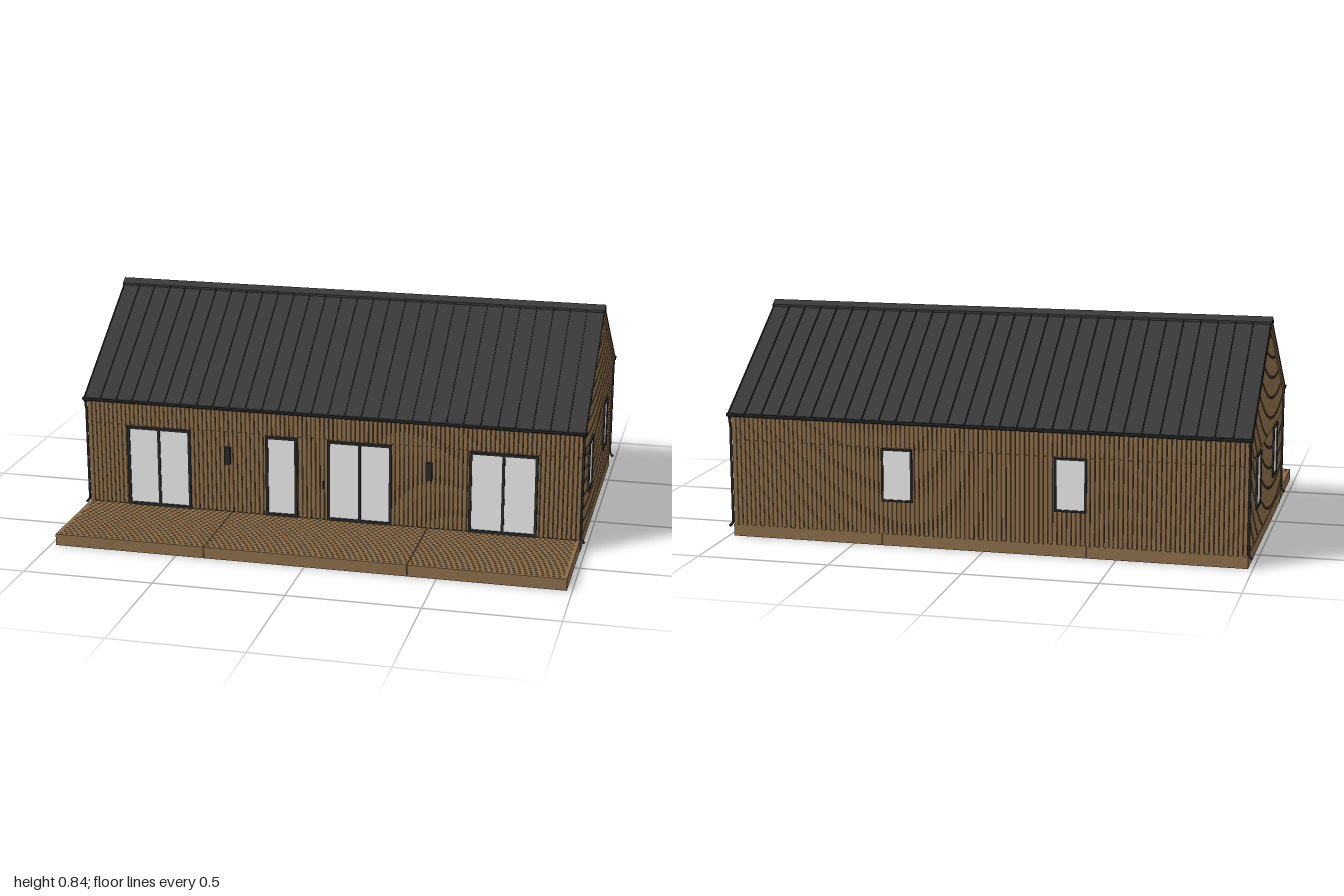
import * as THREE from 'three';
import { mergeGeometries } from 'three/addons/utils/BufferGeometryUtils.js';

const mat = (name, color) => {
  const m = new THREE.MeshStandardMaterial({ color });
  m.name = name;
  return m;
};

export function createModel() {
  const wood = mat('timber', 0x896b48);
  const floorWood = mat('floor timber', 0x765f43);
  const gap = mat('shadow gap brown', 0x4a3823);
  const roofMetal = mat('roof metal', 0x383838);
  const trim = mat('dark trim', 0x262728);
  const glass = mat('glass', 0xfafafa);
  const under = mat('deck underside', 0x2a2a2a);

  const house = new THREE.Group();
  house.name = 'house';
  const ZC = -0.18, HALF_D = 0.515, HALF_W = 0.98, SLOPE = 0.667;
  const WALL_PEAK = 0.821, BASE = 0.045, BAND = 0.375;
  const gableTop = d => WALL_PEAK - SLOPE * Math.abs(d);

  const add = (parent, name, geo, material) => {
    const m = new THREE.Mesh(geo, material);
    m.name = name;
    parent.add(m);
  };
  // box given by its minimum and maximum corners
  const box = (x0, x1, y0, y1, z0, z1) =>
    new THREE.BoxGeometry(x1 - x0, y1 - y0, z1 - z0)
      .translate((x0 + x1) / 2, (y0 + y1) / 2, (z0 + z1) / 2);
  const polygon = (pts, depth) => new THREE.ExtrudeGeometry(
    new THREE.Shape(pts.map(p => new THREE.Vector2(...p))), { depth, bevelEnabled: false });
  // cross-section of the house swept along x
  const sweep = (pts, x0, x1) =>
    polygon(pts, x1 - x0).rotateY(Math.PI / 2).translate(x0, 0, ZC);
  // bent strip that follows both roof slopes
  const chevron = (half, peakLow, peakHigh, x0, x1) => sweep([
    [-half, peakLow - SLOPE * half], [0, peakLow], [half, peakLow - SLOPE * half],
    [half, peakHigh - SLOPE * half], [0, peakHigh], [-half, peakHigh - SLOPE * half],
  ], x0, x1);

  // core behind the cladding, and the floor recessed inside the plinth
  const c = HALF_D - 0.006;
  add(house, 'wallCore', sweep([[-c, 0.04], [c, 0.04], [c, gableTop(c)],
    [0, WALL_PEAK], [-c, gableTop(c)]], -HALF_W + 0.006, HALF_W - 0.006), gap);
  add(house, 'floor', box(-0.97, 0.97, 0.03, 0.04, ZC - c, ZC + c), floorWood);

  // window or glazed door: frame bars with one pane behind
  function glazing(parent, name, x0, x1, y0, y1, leaves, t) {
    const g = new THREE.Group();
    g.name = name;
    const w = (x1 - x0) / leaves;
    const bars = [box(x0, x1, y0, y0 + t, 0, 0.013), box(x0, x1, y1 - t, y1, 0, 0.013)];
    for (let i = 0; i <= leaves; i++) {
      const x = Math.min(Math.max(x0 + i * w - t / 2, x0), x1 - t);
      bars.push(box(x, x + t, y0 + t, y1 - t, 0, 0.013));
    }
    add(g, 'frame', mergeGeometries(bars), trim);
    add(g, 'pane', box(x0 + t / 2, x1 - t / 2, y0 + t / 2, y1 - t / 2, 0, 0.0085), glass);
    parent.add(g);
  }

  // wall of upright boards, local z pointing outwards
  function wall(name, half, count, top, x, z, turn) {
    const g = new THREE.Group();
    g.name = name;
    const pitch = 2 * half / count, boards = [];
    for (let i = 0; i < count; i++) {
      const a = -half + i * pitch + 0.0012, b = a + pitch - 0.0024;
      boards.push(polygon([[a, BASE], [b, BASE], [b, BAND - 0.001], [a, BAND - 0.001]], 0.006));
      boards.push(polygon([[a, BAND], [b, BAND], [b, top(b)], [a, top(a)]], 0.007));
    }
    add(g, 'cladding', mergeGeometries(boards), wood);
    g.position.set(x, 0, z);
    g.rotation.y = turn;
    house.add(g);
    return g;
  }
  const eave = () => gableTop(HALF_D);
  const front = wall('frontWall', HALF_W, 112, eave, 0, ZC + c, 0);
  const back = wall('backWall', HALF_W, 112, eave, 0, ZC - c, Math.PI);
  const gables = [1, -1].map(s => wall(s > 0 ? 'leftGable' : 'rightGable', HALF_D, 60,
    gableTop, s * (HALF_W - 0.006), ZC, s * Math.PI / 2));

  // openings
  const doors = [['terraceDoorA', -0.817, -0.557, 2], ['entranceSideLight', -0.252, -0.125, 1],
    ['terraceDoorB', -0.005, 0.25, 2], ['terraceDoorC', 0.55, 0.814, 2]];
  for (const [name, x0, x1, leaves] of doors)
    glazing(front, name, x0, x1, BASE, 0.37, leaves, 0.011);
  for (const s of [-1, 1]) {
    glazing(back, 'backWindow', s * 0.33 - 0.06, s * 0.33 + 0.06, 0.17, 0.372, 1, 0.008);
    for (const g of gables)
      glazing(g, 'gableWindow', s * 0.261 - 0.06, s * 0.261 + 0.06, 0.17, 0.372, 1, 0.008);
  }
  // entrance door handle and wall lamps
  add(front, 'doorHandle', box(-0.022, -0.017, 0.175, 0.205, 0, 0.018), trim);
  for (const x of [-0.405, 0.396])
    add(front, 'wallLamp', box(x - 0.012, x + 0.012, 0.245, 0.313, 0, 0.022), trim);

  // thin roof sheets, standing seams, ridge cap and verge boards
  add(house, 'roof', chevron(0.525, WALL_PEAK, 0.829, -0.99, 0.99), roofMetal);
  const seams = [];
  for (let i = 0; i <= 30; i++) {
    const x = -0.987 + i * 1.974 / 30;
    seams.push(chevron(0.524, 0.826, 0.834, x - 0.002, x + 0.002));
  }
  add(house, 'roofSeams', mergeGeometries(seams), trim);
  add(house, 'ridgeCap', chevron(0.026, 0.826, 0.838, -0.992, 0.992), roofMetal);
  for (const s of [-1, 1]) {
    const x = s * 0.984;
    add(house, 'vergeBoard', chevron(0.517, 0.798, WALL_PEAK, x - 0.004, x + 0.004), wood);
  }

  // gutters and downpipes
  for (const s of [-1, 1]) {
    const arc = [];
    for (let i = 0; i <= 8; i++) {
      const a = Math.PI + i * Math.PI / 8;
      arc.push([s * 0.527 + 0.013 * Math.cos(a), 0.48 + 0.015 * Math.sin(a)]);
    }
    if (s < 0) arc.reverse();
    add(house, 'gutter', sweep(arc, -0.992, 0.992), trim);
    for (const e of [-1, 1]) {
      const pts = [[0.983, 0.47, 0.529], [0.983, 0.45, 0.527], [0.983, 0.43, 0.52],
        [0.983, 0.41, 0.52], [0.983, 0.3, 0.52], [0.983, 0.15, 0.52], [0.983, 0.075, 0.52],
        [0.983, 0.055, 0.52], [0.997, 0.038, 0.52]]
        .map(([x, y, z]) => new THREE.Vector3(e * x, y, ZC + s * z));
      const path = new THREE.CatmullRomCurve3(pts, false, 'centripetal');
      add(house, 'downpipe', new THREE.TubeGeometry(path, 40, 0.005, 8), trim);
    }
  }

  // plinth boards around the house
  const zBack = ZC - HALF_D, zFront = ZC + HALF_D, zDeck = 0.725;
  const joints = [-0.98, -0.39, 0.39, 0.98];
  const plinth = [-1, 1].map(s => box(s * 0.9735 - 0.0085, s * 0.9735 + 0.0085, 0, BASE, zBack, zFront));
  const fascia = [], planks = [];
  for (const s of [-1, 1])
    fascia.push(box(s * 0.973 - 0.007, s * 0.973 + 0.007, 0, BASE, zFront + 0.002, zDeck));
  // deck in three bays of planks running along x
  const rows = 21, step = (zDeck - zFront) / rows;
  for (let i = 0; i < 3; i++) {
    const x0 = joints[i] + (i ? 0.001 : 0), x1 = joints[i + 1] - (i < 2 ? 0.001 : 0);
    plinth.push(box(x0, x1, 0, BASE, zBack - 0.002, zBack + 0.015));
    fascia.push(box(x0, x1, 0, BASE - 0.001, zDeck - 0.014, zDeck));
    for (let r = 0; r < rows; r++) {
      const z = zFront + r * step;
      planks.push(box(x0, x1, 0.038, BASE, z + 0.0025, z + step));
    }
  }
  add(house, 'plinth', mergeGeometries(plinth), wood);
  const deck = new THREE.Group();
  deck.name = 'deck';
  add(deck, 'fascia', mergeGeometries(fascia), wood);
  add(deck, 'planks', mergeGeometries(planks), wood);
  add(deck, 'deckBed', box(-0.972, 0.972, 0.036, 0.041, zFront - 0.004, zDeck - 0.006), gap);
  add(deck, 'deckUnderside', box(-0.968, 0.968, 0.03, 0.036, zFront - 0.004, zDeck - 0.012), under);
  house.add(deck);

  return house;
}
